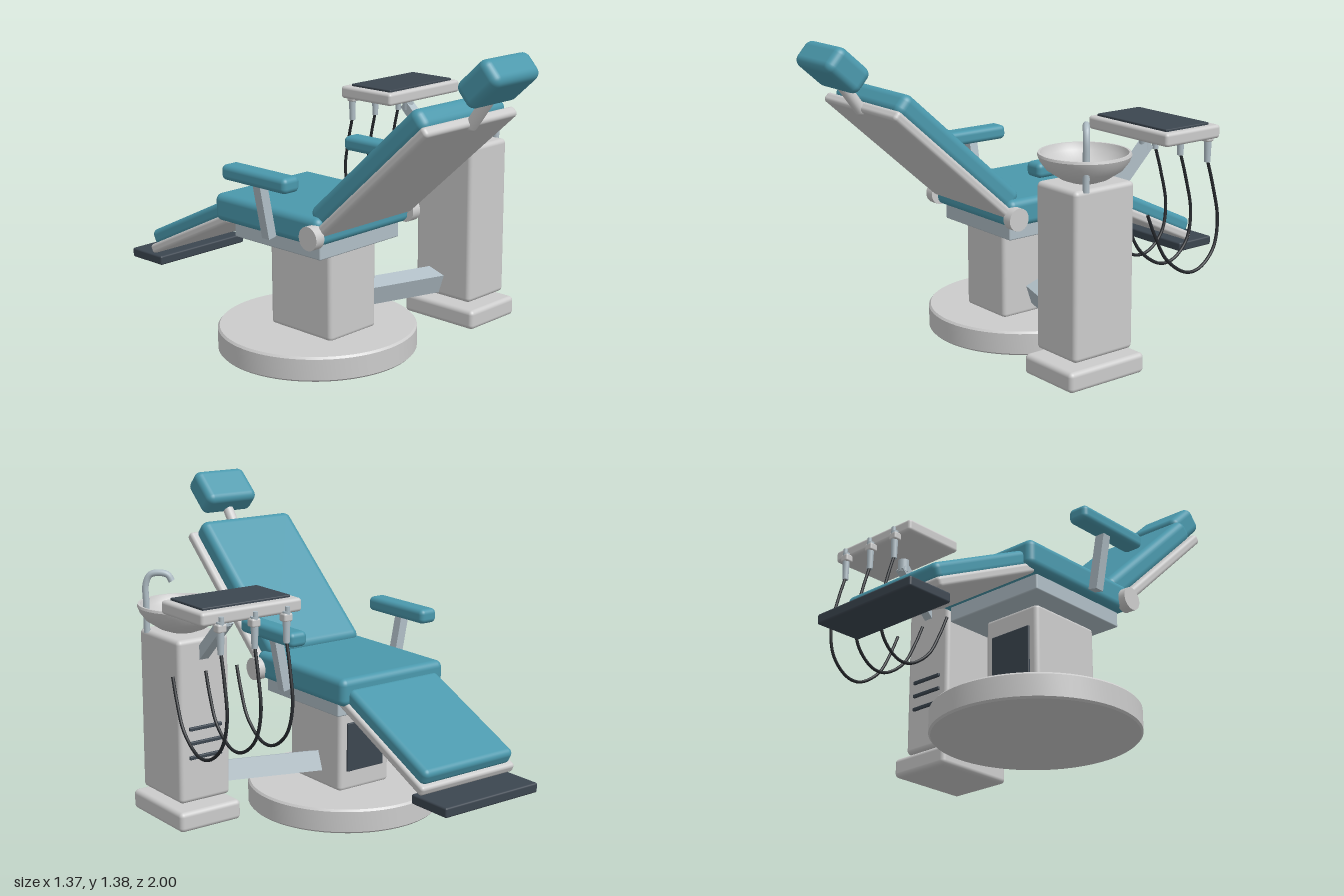
import * as THREE from 'three';
import { RoundedBoxGeometry } from 'three/addons/geometries/RoundedBoxGeometry.js';
import { toCreasedNormals } from 'three/addons/utils/BufferGeometryUtils.js';

const mat = (color, extra = {}) => new THREE.MeshStandardMaterial({ color, ...extra });
const shell = mat(0xcccccc);
const bowlMat = mat(0xcccccc, { side: THREE.DoubleSide });
const teal = mat(0x4a98ac);
const metal = mat(0xb0bec6);
const dark = mat(0x3c4650);
const black = mat(0x26292d);

const CX = -0.255; // chair centre line
const UX = 0.44; // service unit centre line

export function createModel() {
  const model = new THREE.Group();

  const add = (name, geo, material, x = 0, y = 0, z = 0, parent = model) => {
    const mesh = new THREE.Mesh(geo, material);
    mesh.name = name;
    mesh.position.set(x, y, z);
    parent.add(mesh);
    return mesh;
  };
  const box = (name, material, size, pos, r = 0.015, tilt = 0) => {
    const mesh = add(name, new RoundedBoxGeometry(...size, 4, r), material, ...pos);
    mesh.rotation.x = THREE.MathUtils.degToRad(tilt);
    return mesh;
  };
  const lathe = (name, material, pts, pos, seg = 64) => add(name,
    toCreasedNormals(new THREE.LatheGeometry(pts.map(p => new THREE.Vector2(...p)), seg), 0.6), material, ...pos);
  const tube = (name, material, pts, r, seg = 40) => add(name,
    new THREE.TubeGeometry(new THREE.CatmullRomCurve3(pts.map(p => new THREE.Vector3(...p))), seg, r, 10), material);
  // Stretch a mesh's long y axis between two points
  const span = (mesh, a, b) => {
    const from = new THREE.Vector3(...a), to = new THREE.Vector3(...b);
    mesh.position.copy(from).lerp(to, 0.5);
    mesh.quaternion.setFromUnitVectors(new THREE.Vector3(0, 1, 0), to.sub(from).normalize());
    return mesh;
  };
  const bar = (name, material, a, b, w, d) => {
    const len = new THREE.Vector3(...a).distanceTo(new THREE.Vector3(...b));
    return span(add(name, new THREE.BoxGeometry(w, len, d), material), a, b);
  };

  // Floor plate and pedestal
  lathe('basePlate', shell, [[0, 0], [0.422, 0], [0.43, 0.008], [0.43, 0.098], [0.422, 0.107], [0, 0.107]], [CX, 0, -0.05], 72);
  box('pedestal', shell, [0.28, 0.4, 0.36], [CX, 0.3, -0.015], 0.02);
  box('pedestalPanel', dark, [0.2, 0.22, 0.012], [CX, 0.3, -0.197], 0.004);

  // Seat
  box('seatFrame', metal, [0.475, 0.07, 0.51], [CX, 0.525, -0.05], 0.006);
  box('seatCushion', teal, [0.56, 0.12, 0.62], [CX, 0.615, -0.078], 0.03);

  // Reclined back
  box('backShell', shell, [0.55, 0.044, 0.755], [CX, 0.866, 0.504], 0.016, -42);
  box('backCushion', teal, [0.5, 0.1, 0.76], [CX, 0.905, 0.458], 0.035, -42);

  // Headrest
  span(add('headrestStem', new THREE.CapsuleGeometry(0.025, 0.17, 6, 16), shell), [CX, 1.09, 0.775], [CX, 1.24, 0.885]);
  box('headrest', teal, [0.275, 0.12, 0.19], [CX, 1.286, 0.904], 0.034, -42);

  // Legrest and footplate
  box('legShell', shell, [0.51, 0.042, 0.58], [CX, 0.443, -0.597], 0.014, -25.5);
  box('legCushion', teal, [0.485, 0.072, 0.55], [CX, 0.485, -0.61], 0.025, -25.5);
  box('footPlate', dark, [0.5, 0.042, 0.205], [CX, 0.276, -0.897], 0.008);

  // Back hinges and armrests, mirrored about the chair centre line
  for (const s of [-1, 1]) {
    const hinge = add('backHinge', new THREE.CylinderGeometry(0.05, 0.05, 0.045, 32), shell, CX + s * 0.29, 0.6, 0.21);
    hinge.rotation.z = Math.PI / 2;
    bar('armrestPost', metal, [CX + s * 0.305, 0.56, -0.02], [CX + s * 0.355, 0.81, -0.02], 0.042, 0.042);
    box('armrestPad', teal, [0.09, 0.065, 0.375], [CX + s * 0.36, 0.822, -0.01], 0.022);
  }

  // Service unit cabinet on its link arm
  bar('linkArm', metal, [-0.25, 0.2, -0.06], [UX, 0.2, 0.165], 0.09, 0.085);
  box('unitFoot', shell, [0.305, 0.087, 0.395], [UX, 0.064, 0.17], 0.02);
  add('unitNeck', new THREE.BoxGeometry(0.1, 0.05, 0.1), shell, UX, 0.12, 0.17);
  box('unitCabinet', shell, [0.25, 0.71, 0.31], [UX, 0.485, 0.17], 0.02);
  for (let i = 0; i < 3; i++) box('ventSlot', dark, [0.16, 0.016, 0.014], [UX, 0.33 + i * 0.063, 0.012], 0.004);

  // Basin, drain and spout
  lathe('basin', bowlMat, [[0, 0.835], [0.06, 0.84], [0.1, 0.855], [0.155, 0.892], [0.18, 0.925], [0.19, 0.95], [0.187, 0.96],
    [0.178, 0.96], [0.168, 0.93], [0.13, 0.895], [0.07, 0.872], [0, 0.868]], [UX, 0, 0.175]);
  add('drain', new THREE.CylinderGeometry(0.022, 0.022, 0.008, 24), dark, UX, 0.873, 0.175);
  tube('spout', metal, [[0.56, 0.83, 0.268], [0.56, 0.95, 0.268], [0.56, 1.04, 0.268], [0.545, 1.078, 0.256],
    [0.515, 1.087, 0.231], [0.488, 1.078, 0.208], [0.476, 1.052, 0.198]], 0.014);

  // Instrument tray on its support arm
  bar('trayArm', metal, [UX, 0.76, 0.035], [UX, 0.95, -0.16], 0.045, 0.045);
  add('trayPivot', new THREE.CylinderGeometry(0.025, 0.025, 0.07, 20), metal, UX, 0.96, -0.15);
  box('tray', shell, [0.48, 0.056, 0.3], [UX, 1.013, -0.195], 0.014);
  box('trayMat', dark, [0.42, 0.014, 0.235], [UX, 1.044, -0.188], 0.004);

  // Handpieces with looping hoses
  for (const x of [UX - 0.155, UX, UX + 0.16]) {
    box('handpieceHolder', shell, [0.042, 0.035, 0.04], [x, 0.975, -0.35], 0.008);
    add('handpiece', new THREE.CylinderGeometry(0.017, 0.013, 0.13, 16), metal, x, 0.935, -0.353);
    add('handpieceTip', new THREE.CylinderGeometry(0.01, 0.01, 0.04, 12), metal, x, 1.0, -0.36);
    tube('hose', black, [[x, 0.88, -0.353], [x + 0.005, 0.77, -0.383], [x + 0.012, 0.62, -0.41], [x + 0.02, 0.5, -0.382],
      [x + 0.026, 0.43, -0.3], [x + 0.027, 0.425, -0.22], [x + 0.023, 0.5, -0.11], [x + 0.016, 0.61, -0.05], [x + 0.01, 0.705, -0.012]], 0.007, 60);
  }

  return model;
}
